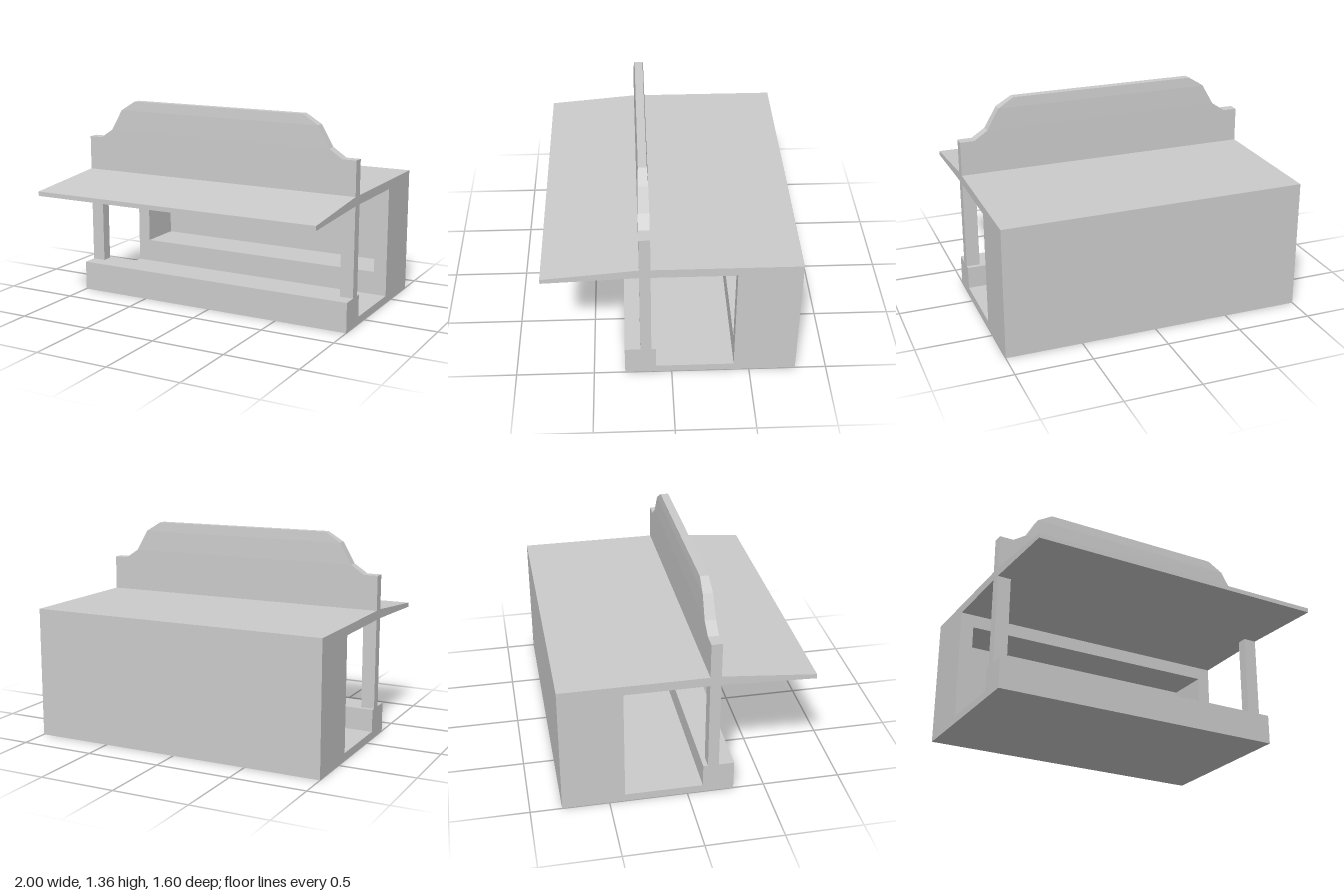
import * as THREE from 'three';

const material = new THREE.MeshStandardMaterial({ color: 0xcccccc, flatShading: true });

function add(group, name, geometry) {
  const mesh = new THREE.Mesh(geometry, material);
  mesh.name = name;
  group.add(mesh);
  return mesh;
}

// Box given by its limits on each axis
function slab(group, name, [x0, x1], [y0, y1], [z0, z1]) {
  const geometry = new THREE.BoxGeometry(x1 - x0, y1 - y0, z1 - z0);
  geometry.translate((x0 + x1) / 2, (y0 + y1) / 2, (z0 + z1) / 2);
  return add(group, name, geometry);
}

const polygon = (points) => new THREE.Shape(points.map(([a, b]) => new THREE.Vector2(a, b)));

// Sign board: a box whose rows follow the stepped outline, thinner at the top
function signGeometry() {
  // half width, height, inset of front and back faces
  const rows = [
    [1, 0.86, 0], [1, 1.09, 0], [0.905, 1.09, 0],
    [0.815, 1.15, 0], [0.735, 1.29, 0.003], [0.63, 1.355, 0.008],
  ];
  const geometry = new THREE.BoxGeometry(2, 1, 0.07, 1, rows.length - 1, 1);
  const p = geometry.attributes.position;
  for (let i = 0; i < p.count; i++) {
    const [w, y, inset] = rows[Math.round((p.getY(i) + 0.5) * (rows.length - 1))];
    p.setXYZ(i, Math.sign(p.getX(i)) * w, y, 0.165 + Math.sign(p.getZ(i)) * (0.035 - inset));
  }
  const flat = geometry.toNonIndexed();
  flat.computeVertexNormals();
  return flat;
}

export function createModel() {
  const group = new THREE.Group();
  group.name = 'marketStall';
  const full = [-1, 1];

  // Base: thin floor and raised front counter
  slab(group, 'floor', full, [0, 0.05], [-0.4, 0.1]);
  slab(group, 'counter', full, [0, 0.2], [0.1, 0.3]);

  // Rear cabinet with a wide recess facing the front
  const front = polygon([[-1, 0], [1, 0], [1, 0.86], [-1, 0.86]]);
  front.holes.push(polygon([[-0.91, 0.21], [-0.91, 0.71], [0.91, 0.71], [0.91, 0.21]]));
  const frame = new THREE.ExtrudeGeometry(front, { depth: 0.31, bevelEnabled: false });
  frame.translate(0, 0, -0.71);
  add(group, 'cabinetFrame', frame);
  slab(group, 'cabinetBack', full, [0, 0.86], [-0.8, -0.71]);

  // Front posts
  for (const side of [-1, 1]) {
    const post = new THREE.BoxGeometry(0.09, 0.6, 0.07);
    post.translate(side * 0.955, 0.5, 0.165);
    add(group, side > 0 ? 'leftPost' : 'rightPost', post);
  }

  // Roof and sloping awning
  slab(group, 'roof', full, [0.8, 0.86], [-0.4, 0.2]);
  const awning = new THREE.ExtrudeGeometry(
    polygon([[0.2, 0.8], [0.8, 0.775], [0.8, 0.805], [0.2, 0.86]]),
    { depth: 2, bevelEnabled: false });
  awning.rotateY(-Math.PI / 2).translate(1, 0, 0);
  add(group, 'awning', awning);

  add(group, 'signBoard', signGeometry());
  return group;
}
